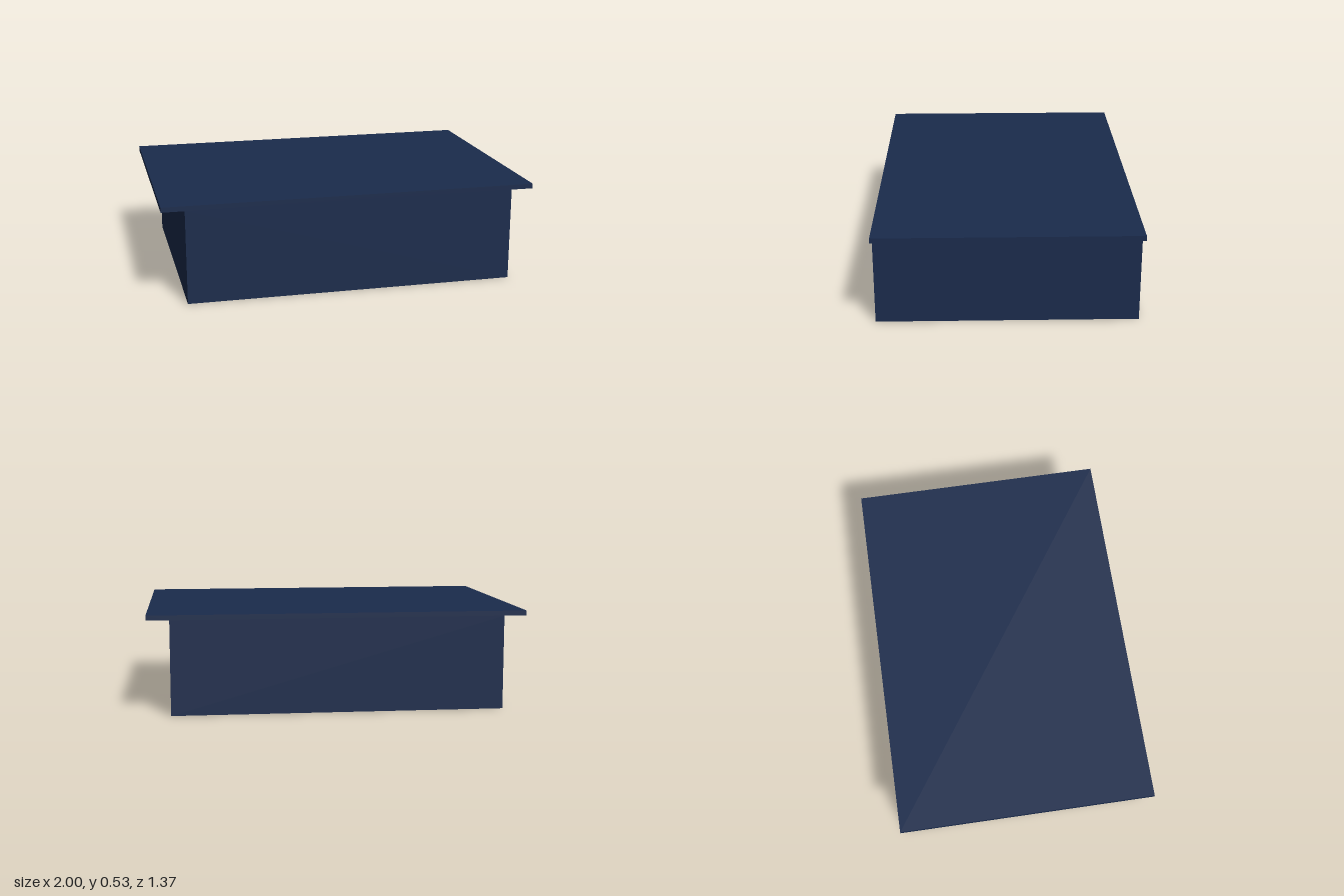
import * as THREE from 'three';

const DEPTH = 1.37;     // front to back
const BODY_X = 0.88;    // half width of the body
const TOP_X = 1;        // half width of the overhanging top
const BODY_Y = 0.5;     // underside of the top
const TOP_Y = 0.526;    // overall height

export function createModel() {
  const group = new THREE.Group();
  group.name = 'boxWithOverhangingTop';

  // T-shaped section: the top overhangs at the sides and is flush front and back
  const section = new THREE.Shape([
    [-BODY_X, 0], [BODY_X, 0], [BODY_X, BODY_Y], [TOP_X, BODY_Y],
    [TOP_X, TOP_Y], [-TOP_X, TOP_Y], [-TOP_X, BODY_Y], [-BODY_X, BODY_Y],
  ].map(([x, y]) => new THREE.Vector2(x, y)));

  const geometry = new THREE.ExtrudeGeometry(section, { depth: DEPTH, bevelEnabled: false });
  geometry.translate(0, 0, -DEPTH / 2);

  const body = new THREE.Mesh(geometry, new THREE.MeshStandardMaterial({ color: 0x1a2b4c }));
  body.name = 'bodyAndTop';
  group.add(body);
  return group;
}
